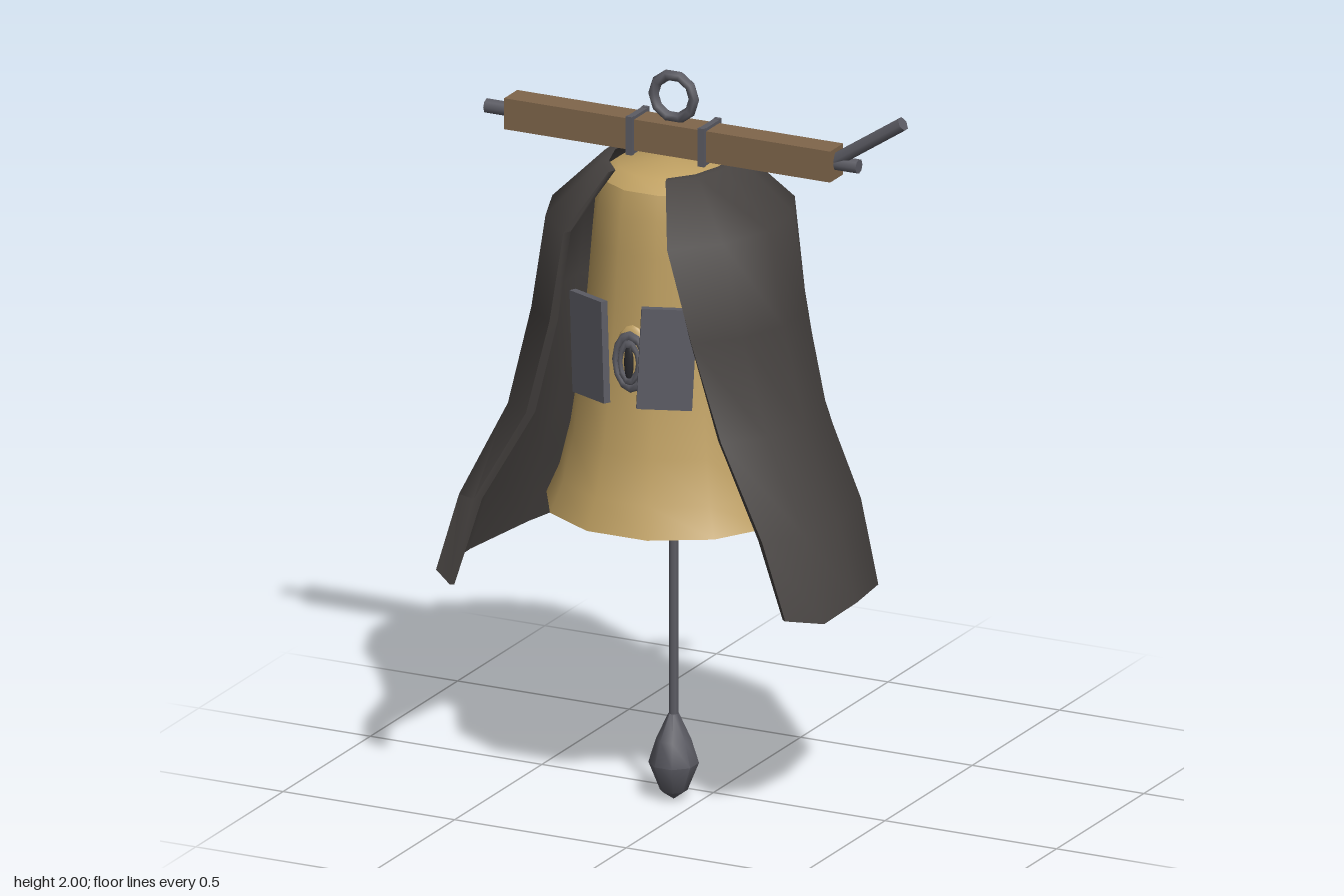
import * as THREE from 'three';
import { toCreasedNormals } from 'three/addons/utils/BufferGeometryUtils.js';

const CX = -0.07, CZ = 0.09; // axis of the bell

const mat = (name, color, side = THREE.FrontSide) => {
  const m = new THREE.MeshStandardMaterial({ color, side });
  m.name = name;
  return m;
};

// Cloak: rows from collar to hem, each a closed loop of outer and inner points
function cloakGeometry() {
  const hem = [ // x, y, z from the left-hand front edge round the back
    [-0.565, 0.605, 0.4], [-0.605, 0.64, 0.4], [-0.6, 0.65, 0.24], [-0.56, 0.655, -0.02],
    [-0.5, 0.655, -0.29], [-0.27, 0.61, -0.38], [-0.07, 0.62, -0.43], [0.16, 0.665, -0.43],
    [0.31, 0.65, -0.25], [0.44, 0.615, -0.08], [0.49, 0.64, 0.14], [0.46, 0.615, 0.27], [0.4, 0.645, 0.375],
  ];
  const rows = [ // y, radius, front stretch, blend towards the hem, thickness
    [1.77, 0.178, 1.34, 0, 0.025], [1.63, 0.322, 1.18, 0, 0.025], [1.37, 0.317, 1.08, 0.17, 0.025],
    [1.1, 0.315, 0.95, 0.4, 0.025], [0.85, 0.315, 1.1, 0.8, 0.022], [0, 0.315, 1, 1, 0.012],
  ];
  const n = hem.length, loop = 2 * n, pos = [], idx = [];
  for (const [y, r, stretch, f, thick] of rows) {
    const outer = hem.map(([hx, hy, hz], j) => {
      const a = THREE.MathUtils.degToRad(28 + 304 / 12 * j), c = Math.cos(a);
      const x = CX - r * Math.sin(a), z = CZ + r * c * (c > 0 ? stretch : 1);
      return [x + (hx - x) * f, f === 1 ? hy : y, z + (hz - z) * f];
    });
    const inner = outer.map(([x, yy, z]) => {
      const k = 1 - thick / Math.hypot(x - CX, z - CZ);
      return [CX + (x - CX) * k, yy, CZ + (z - CZ) * k];
    }).reverse();
    pos.push(...outer.flat(), ...inner.flat());
  }
  const quad = (a, b, c, d) => idx.push(a, b, c, b, d, c);
  for (let i = 0; i < rows.length - 1; i++)
    for (let j = 0; j < loop; j++) {
      const k = (j + 1) % loop;
      quad(i * loop + j, i * loop + k, (i + 1) * loop + j, (i + 1) * loop + k);
    }
  const last = (rows.length - 1) * loop;
  for (let j = 0; j < n - 1; j++) { // collar and hem rims
    const p = loop - 1 - j;
    quad(j, p, j + 1, p - 1);
    quad(last + j, last + j + 1, last + p, last + p - 1);
  }
  const g = new THREE.BufferGeometry();
  g.setAttribute('position', new THREE.Float32BufferAttribute(pos, 3));
  g.setIndex(idx);
  return toCreasedNormals(g, 1.15);
}

const lathe = (pts, sides, crease) => toCreasedNormals(
  new THREE.LatheGeometry(pts.map(([x, y]) => new THREE.Vector2(x, y)), sides, Math.PI / sides), crease);

export function createModel() {
  const root = new THREE.Group();
  const gold = mat('brass', 0xbfa062);
  const cloth = mat('dark cloth', 0x474341, THREE.DoubleSide);
  const iron = mat('iron', 0x5c5c64);
  const wood = mat('wood', 0x80664b);
  const dark = mat('dark slit', 0x2a2a2e);

  const add = (name, geo, material, x = 0, y = 0, z = 0, parent = root) => {
    const m = new THREE.Mesh(geo, material);
    m.name = name;
    m.position.set(x, y, z);
    parent.add(m);
    return m;
  };
  const box = (w, h, d) => new THREE.BoxGeometry(w, h, d);

  // Bell: inner wall down, lip, outer wall up to a broad shoulder
  add('bell', lathe([
    [0, 1.72], [0.15, 1.69], [0.185, 1.55], [0.195, 1.4], [0.215, 1.2], [0.243, 1.02], [0.275, 0.9], [0.308, 0.82],
    [0.338, 0.82], [0.303, 0.9], [0.274, 1.02], [0.247, 1.2], [0.228, 1.4], [0.216, 1.55],
    [0.207, 1.65], [0.193, 1.718], [0.15, 1.748], [0, 1.765],
  ], 12, 0.6), gold, CX, 0, CZ);

  add('cloak', cloakGeometry(), cloth);

  // Clapper
  add('clapperRod', new THREE.CylinderGeometry(0.013, 0.013, 1.5, 8), iron, CX, 0.95, CZ);
  add('clapperWeight', lathe([
    [0, 0], [0.036, 0.025], [0.066, 0.1], [0.046, 0.165], [0.014, 0.235], [0, 0.235],
  ], 8, 0.8), iron, CX, 0, CZ);

  // Yoke beam with end pegs and a crank
  add('beam', box(0.95, 0.085, 0.075), wood, CX, 1.8175, CZ);
  for (const [x, name] of [[-0.575, 'leftPeg'], [0.43, 'rightPeg']])
    add(name, new THREE.CylinderGeometry(0.02, 0.02, 0.08, 8), iron, x, 1.818, CZ).rotation.z = Math.PI / 2;
  const crank = add('crank', new THREE.CylinderGeometry(0.02, 0.02, 0.235, 6), iron, 0.5, 1.89, CZ);
  crank.rotation.z = Math.atan2(0.125, 0.19) - Math.PI / 2;

  // Straps round the beam
  for (const s of [-1, 1]) {
    const strap = new THREE.Group();
    strap.name = 'strap';
    strap.position.set(CX + s * 0.105, 1.8175, CZ);
    root.add(strap);
    for (const t of [-1, 1]) {
      add('strapSide', box(0.018, 0.105, 0.012), iron, 0, 0, t * 0.045, strap);
      add('strapBand', box(0.018, 0.01, 0.09), iron, 0, t * 0.046, 0, strap);
    }
  }

  // Hanging ring
  add('hangingRing', new THREE.TorusGeometry(0.059, 0.015, 6, 10), iron, CX, 1.927, CZ);

  // Two open shutters on the front
  for (const s of [-1, 1]) {
    const shutter = add('shutter', box(0.145, 0.275, 0.02), iron, CX + s * 0.112, 1.303, 0.35);
    shutter.rotation.set(0, s * 0.5, -s * 0.05);
  }

  // Eye-like boss between the shutters
  const boss = new THREE.Group();
  boss.name = 'boss';
  boss.position.set(CX, 1.28, 0.325);
  root.add(boss);
  add('bossDome', new THREE.SphereGeometry(0.05, 12, 8), gold, 0, 0.008, 0, boss).scale.set(1, 1.65, 0.35);
  add('bossRing', new THREE.TorusGeometry(0.044, 0.009, 6, 12), iron, 0, -0.006, 0.014, boss).scale.set(1, 1.6, 1);
  add('innerRing', new THREE.TorusGeometry(0.027, 0.007, 6, 10), iron, 0, -0.006, 0.02, boss).scale.set(1, 1.9, 1);
  add('slit', new THREE.SphereGeometry(0.014, 8, 8), dark, 0, -0.006, 0.022, boss).scale.set(1, 3.6, 0.5);

  return root;
}
